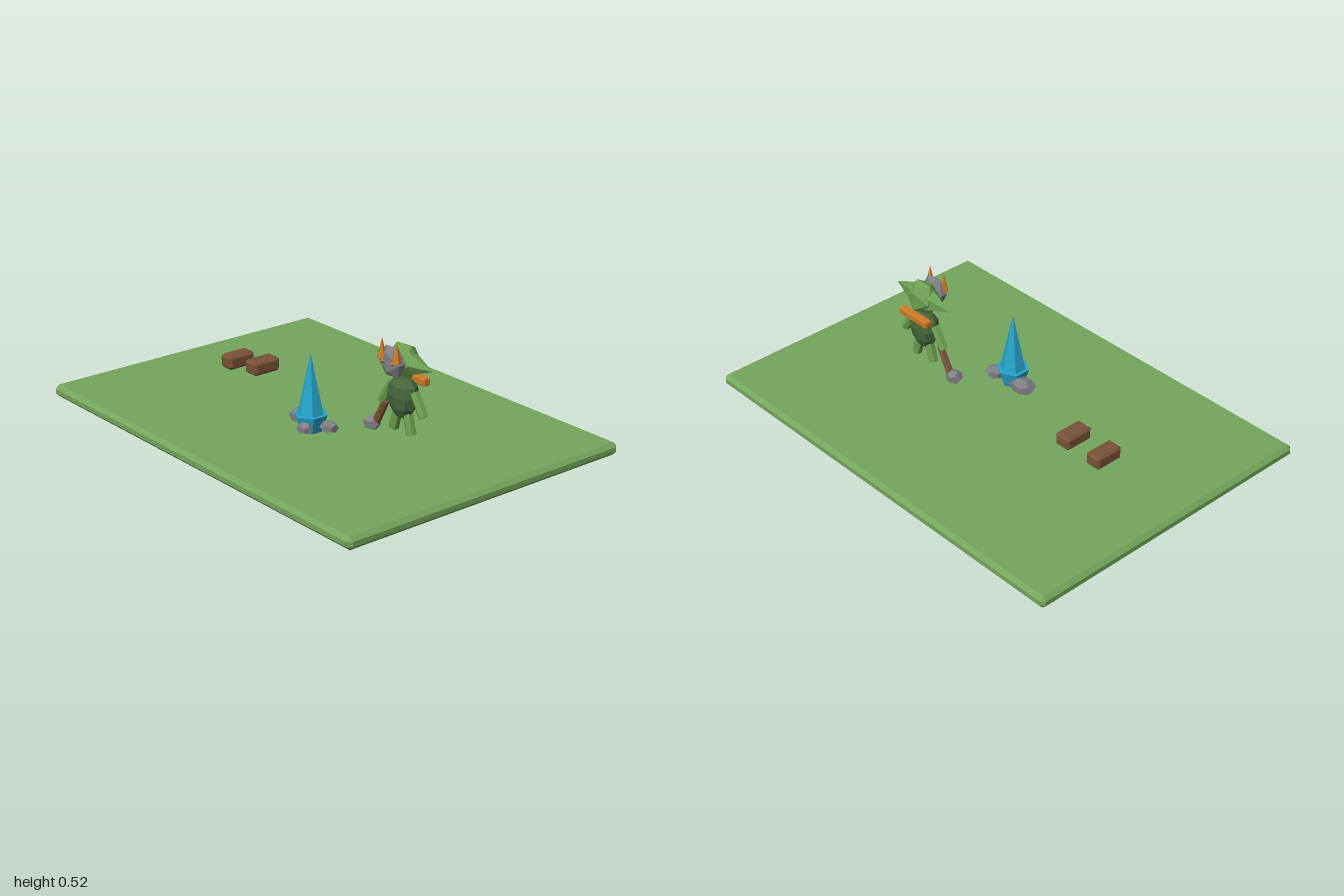
import * as THREE from 'three';
import { ConvexGeometry } from 'three/addons/geometries/ConvexGeometry.js';

const material = (name, color) => {
  const m = new THREE.MeshStandardMaterial({ color, flatShading: true });
  m.name = name;
  return m;
};

// Box with chamfered edges, centred on its origin
function chamferBox(w, h, d, c) {
  const points = [];
  for (const x of [-1, 1]) for (const y of [-1, 1]) for (const z of [-1, 1]) {
    const p = [x * w / 2, y * h / 2, z * d / 2];
    const q = [x * (w / 2 - c), y * (h / 2 - c), z * (d / 2 - c)];
    points.push(
      new THREE.Vector3(p[0], q[1], q[2]),
      new THREE.Vector3(q[0], p[1], q[2]),
      new THREE.Vector3(q[0], q[1], p[2]));
  }
  return new ConvexGeometry(points);
}

export function createModel() {
  const grass = material('grass green', 0x75a55c);
  const skin = material('skin green', 0x6c9f50);
  const tunic = material('tunic green', 0x48663c);
  const stone = material('stone grey', 0x7e7e83);
  const wood = material('wood brown', 0x78523a);
  const orange = material('orange', 0xcb7a28);
  const crystalBlue = material('crystal blue', 0x27a5cc);

  const model = new THREE.Group();
  const add = (parent, name, geometry, mat, x = 0, y = 0, z = 0) => {
    const mesh = new THREE.Mesh(geometry, mat);
    mesh.name = name;
    mesh.position.set(x, y, z);
    parent.add(mesh);
    return mesh;
  };
  const group = (name) => {
    const g = new THREE.Group();
    g.name = name;
    model.add(g);
    return g;
  };
  // Straight limb or stick between two points
  const stick = (parent, name, mat, a, b, rTop, rBottom, sides = 6) => {
    const from = new THREE.Vector3(...a), to = new THREE.Vector3(...b);
    const dir = to.clone().sub(from);
    const mesh = add(parent, name, new THREE.CylinderGeometry(rTop, rBottom, dir.length(), sides), mat);
    mesh.position.copy(from).add(to).multiplyScalar(0.5);
    mesh.quaternion.setFromUnitVectors(new THREE.Vector3(0, 1, 0), dir.normalize());
    return mesh;
  };
  const rock = (parent, name, x, y, z, sx, sy, sz, turn = 0) => {
    const geometry = new THREE.DodecahedronGeometry(1, 0);
    geometry.rotateY(turn);
    geometry.scale(sx, sy, sz);
    return add(parent, name, geometry, stone, x, y, z);
  };

  // Ground slab
  add(model, 'ground', chamferBox(2, 0.055, 1.42, 0.017), grass, 0, 0.0275, 0);

  // Floating bricks
  add(model, 'lowBrick', chamferBox(0.074, 0.062, 0.136, 0.011), wood, -0.589, 0.128, 0.018);
  add(model, 'highBrick', chamferBox(0.078, 0.062, 0.136, 0.011), wood, -0.428, 0.144, 0.005);

  // Crystal: flared foot with a tall spire
  const crystal = group('crystal');
  crystal.position.set(0.112, 0, 0.172);
  add(crystal, 'crystalFoot', new THREE.CylinderGeometry(0.073, 0.048, 0.075, 6), crystalBlue, 0, 0.0925, 0);
  add(crystal, 'crystalSpire', new THREE.ConeGeometry(0.057, 0.262, 6), crystalBlue, 0, 0.261, 0);

  // Rocks round the crystal
  const rocks = group('rocks');
  rock(rocks, 'largeRock', 0.028, 0.088, 0.15, 0.064, 0.032, 0.05, 0.4);
  rock(rocks, 'sideRock', 0.186, 0.085, 0.138, 0.046, 0.028, 0.037, 1.1);
  rock(rocks, 'frontRock', 0.14, 0.086, 0.225, 0.038, 0.026, 0.034, 0.7);

  // Creature, built about its own centre line
  const creature = group('creature');
  creature.position.set(0.453, 0, -0.027);

  // Body
  const profile = [[0, 0.17], [0.035, 0.175], [0.064, 0.215], [0.076, 0.265],
    [0.07, 0.31], [0.045, 0.335], [0, 0.34]].map(([r, y]) => new THREE.Vector2(r, y));
  const body = new THREE.LatheGeometry(profile, 8);
  body.scale(1, 1, 0.7);
  add(creature, 'body', body, tunic);

  // Head
  const head = new THREE.IcosahedronGeometry(0.08, 0);
  head.scale(1, 1, 0.88);
  add(creature, 'head', head, skin, 0, 0.412, 0);

  // Face mask
  const mask = new THREE.IcosahedronGeometry(1, 0);
  mask.scale(0.072, 0.073, 0.034);
  add(creature, 'mask', mask, stone, 0, 0.42, 0.06);

  for (const s of [-1, 1]) {
    const side = s > 0 ? 'left' : 'right';
    // Ear
    const ear = new THREE.ConeGeometry(0.052, 0.13, 5);
    ear.rotateZ(-s * Math.PI / 2);
    ear.scale(1, 1, 0.85);
    add(creature, side + 'Ear', ear, skin, s * 0.107, 0.412, 0);
    // Horn and eye
    add(creature, side + 'Horn', new THREE.ConeGeometry(0.021, 0.085, 5), orange, s * 0.044, 0.473, 0.076);
    add(creature, side + 'Eye', new THREE.OctahedronGeometry(0.011), orange, s * 0.028, 0.423, 0.084);
    // Limbs
    stick(creature, side + 'Arm', skin, [s * 0.125, 0.205, 0], [s * 0.068, 0.295, 0], 0.021, 0.021);
    stick(creature, side + 'Leg', skin, [s * 0.054, 0.11, 0], [s * 0.028, 0.2, 0], 0.022, 0.022);
  }

  // Roll carried on the back
  add(creature, 'backRoll', chamferBox(0.176, 0.034, 0.036, 0.005), orange, 0, 0.332, -0.05);

  // Club
  stick(creature, 'clubHandle', wood, [-0.17, 0.085, 0], [-0.102, 0.21, 0], 0.016, 0.018);
  rock(creature, 'clubHead', -0.181, 0.09, 0.006, 0.04, 0.033, 0.036, 0.3);

  return model;
}
